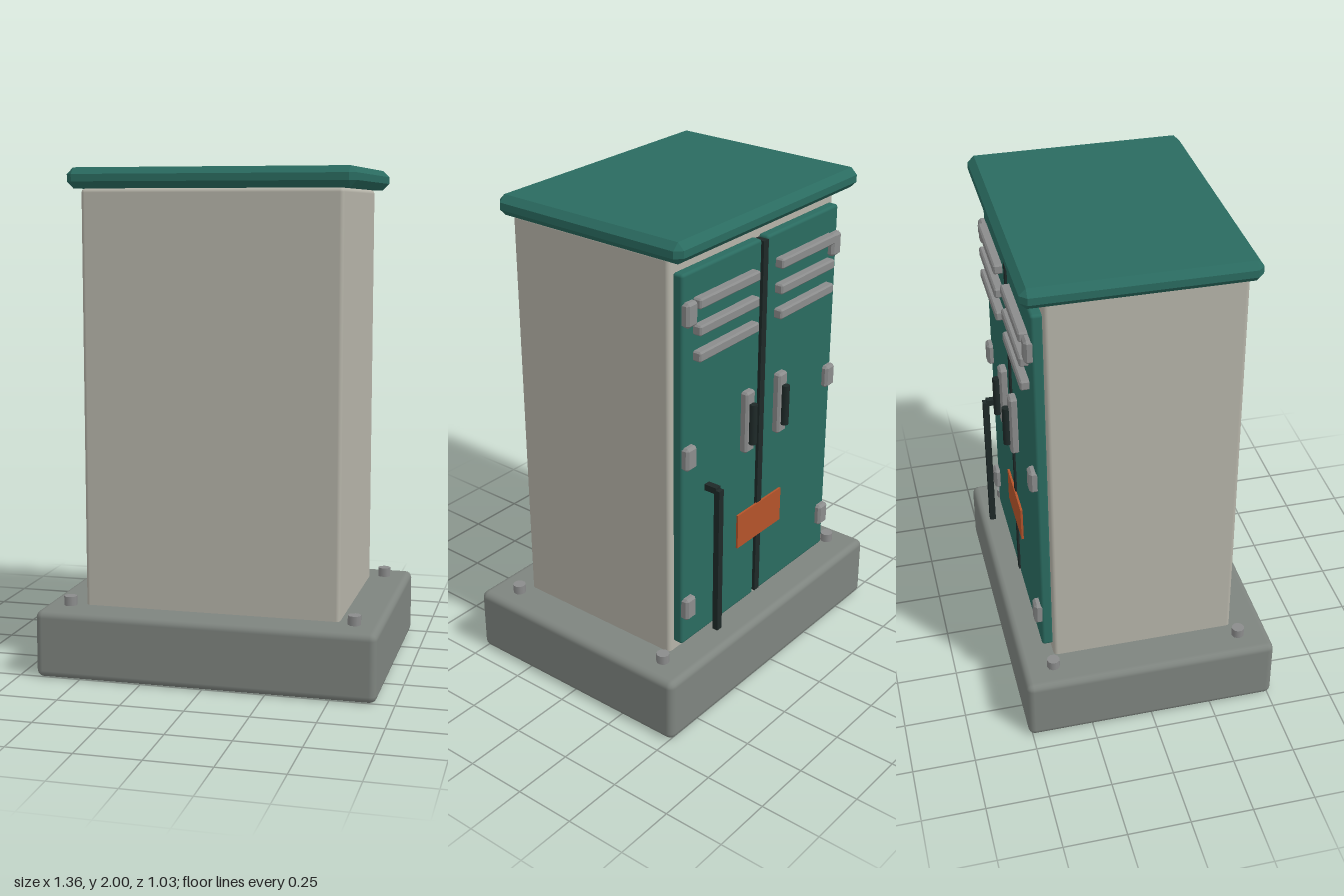
import * as THREE from 'three';
import { RoundedBoxGeometry } from 'three/addons/geometries/RoundedBoxGeometry.js';
import { ConvexGeometry } from 'three/addons/geometries/ConvexGeometry.js';

const paint = (name, color) => {
  const m = new THREE.MeshStandardMaterial({ color });
  m.name = name;
  return m;
};

// Box with one flat bevel along every edge
function chamferBox(w, h, d, c) {
  const points = [];
  for (const sx of [-1, 1]) for (const sy of [-1, 1]) for (const sz of [-1, 1]) {
    const [x, y, z] = [w / 2, h / 2, d / 2];
    points.push(
      new THREE.Vector3(sx * x, sy * (y - c), sz * (z - c)),
      new THREE.Vector3(sx * (x - c), sy * y, sz * (z - c)),
      new THREE.Vector3(sx * (x - c), sy * (y - c), sz * z));
  }
  return new ConvexGeometry(points);
}

export function createModel() {
  const concrete = paint('concrete grey', 0x7e847f);
  const shell = paint('warm light grey', 0xb5b3a8);
  const green = paint('dark green', 0x2a6b60);
  const metal = paint('metal grey', 0x8b8c8c);
  const black = paint('near black', 0x1e2928);
  const orange = paint('orange', 0xb4532a);

  const group = new THREE.Group();
  group.name = 'utilityCabinet';
  const add = (name, geometry, material, x, y, z) => {
    const mesh = new THREE.Mesh(geometry, material);
    mesh.name = name;
    mesh.position.set(x, y, z);
    group.add(mesh);
  };

  // Plinth, housing and roof
  add('plinth', new RoundedBoxGeometry(1.36, 0.27, 1.03, 2, 0.028), concrete, 0, 0.135, 0);
  add('housing', new RoundedBoxGeometry(1.03, 1.68, 0.745, 2, 0.016), shell, 0, 1.08, 0);
  add('roof', chamferBox(1.13, 0.08, 0.87, 0.026), green, 0, 1.96, -0.025);

  // Anchor bolts
  const bolt = new THREE.CylinderGeometry(0.026, 0.026, 0.05, 10);
  for (const x of [-0.575, 0.575]) for (const z of [-0.388, 0.388])
    add('anchorBolt', bolt, metal, x, 0.282, z);

  // Doors with louvres, hinges and handles, mirrored on the back
  const door = new RoundedBoxGeometry(0.472, 1.55, 0.047, 2, 0.012);
  const louvre = chamferBox(0.36, 0.04, 0.04, 0.006);
  const hinge = chamferBox(0.06, 0.095, 0.04, 0.01);
  const handlePlate = chamferBox(0.056, 0.26, 0.036, 0.008);
  const grip = new THREE.CylinderGeometry(0.016, 0.016, 0.17, 10);
  for (const side of [-1, 1]) {
    add('door', door, green, side * 0.254, 1.085, -0.3915);
    for (const y of [1.74, 1.637, 1.535]) add('louvre', louvre, metal, side * 0.25, y, -0.43);
    for (const y of [1.708, 1.135, 0.475]) add('hinge', hinge, metal, side * 0.458, y, -0.42);
    add('handlePlate', handlePlate, metal, side * 0.107, 1.15, -0.429);
    add('handleGrip', grip, black, side * 0.107, 1.145, -0.457);
  }

  // Seal between the doors and the warning plate across it
  add('centreSeal', new THREE.BoxGeometry(0.03, 1.53, 0.05), black, 0, 1.085, -0.395);
  add('warningPlate', new THREE.BoxGeometry(0.29, 0.15, 0.009), orange, 0, 0.665, -0.4195);

  // Hanging rod with its bracket
  add('rod', new THREE.BoxGeometry(0.028, 0.63, 0.025), black, 0.34, 0.65, -0.473);
  add('rodBracket', new THREE.BoxGeometry(0.028, 0.026, 0.06), black, 0.34, 0.962, -0.44);

  return group;
}
